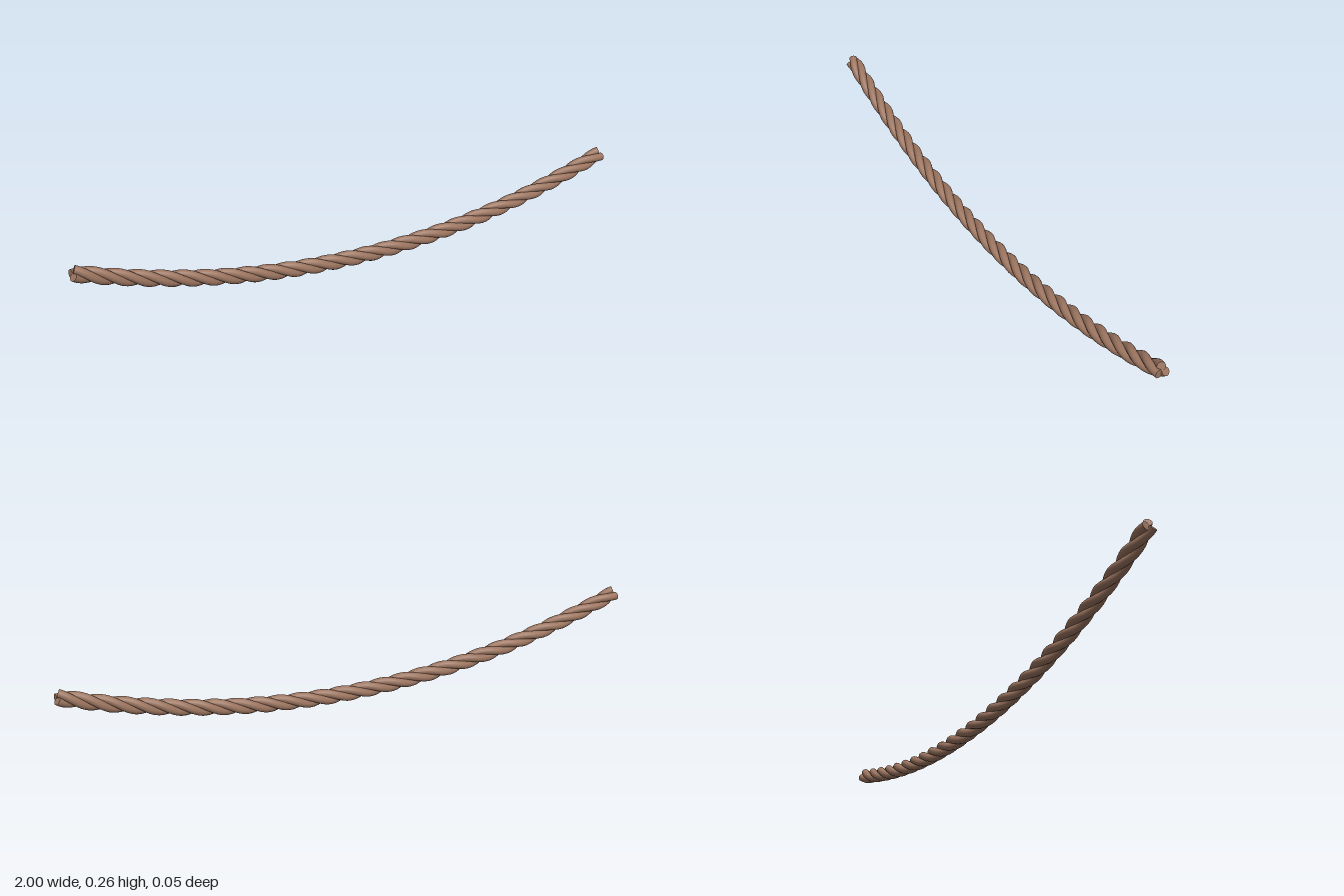
import * as THREE from 'three';

const STRANDS = 3;
const TURNS = 9;
const HELIX_RADIUS = 0.0135;
const STRAND_RADIUS = 0.0138;
const HALF_SPAN = 0.988;

// Sagging centre line of the rope
const sag = (x) => 0.183 * (x - 0.085) ** 2 + 0.0273;
const slope = (x) => 0.366 * (x - 0.085);

// One strand winding around the centre line
class StrandCurve extends THREE.Curve {
  constructor(phase) {
    super();
    this.phase = phase;
  }
  getPoint(t, target = new THREE.Vector3()) {
    const x = THREE.MathUtils.lerp(-HALF_SPAN, HALF_SPAN, t);
    const angle = this.phase + t * TURNS * Math.PI * 2;
    const up = HELIX_RADIUS * Math.cos(angle);
    const len = Math.hypot(1, slope(x));
    return target.set(
      x - (up * slope(x)) / len,
      sag(x) + up / len,
      HELIX_RADIUS * Math.sin(angle)
    );
  }
}

export function createModel() {
  const rope = new THREE.Group();
  rope.name = 'rope';
  const material = new THREE.MeshStandardMaterial({ color: 0x9c7560 });

  for (let i = 0; i < STRANDS; i++) {
    const curve = new StrandCurve((i / STRANDS) * Math.PI * 2);
    const strand = new THREE.Group();
    strand.name = `strand${i + 1}`;

    const body = new THREE.Mesh(new THREE.TubeGeometry(curve, 360, STRAND_RADIUS, 14), material);
    body.name = 'strandBody';
    strand.add(body);

    // Flat cut ends
    for (const t of [0, 1]) {
      const cap = new THREE.Mesh(new THREE.CircleGeometry(STRAND_RADIUS, 14), material);
      cap.name = t ? 'leftEnd' : 'rightEnd';
      const point = curve.getPointAt(t);
      cap.position.copy(point);
      cap.lookAt(point.clone().addScaledVector(curve.getTangentAt(t), t ? 1 : -1));
      strand.add(cap);
    }
    rope.add(strand);
  }
  return rope;
}
